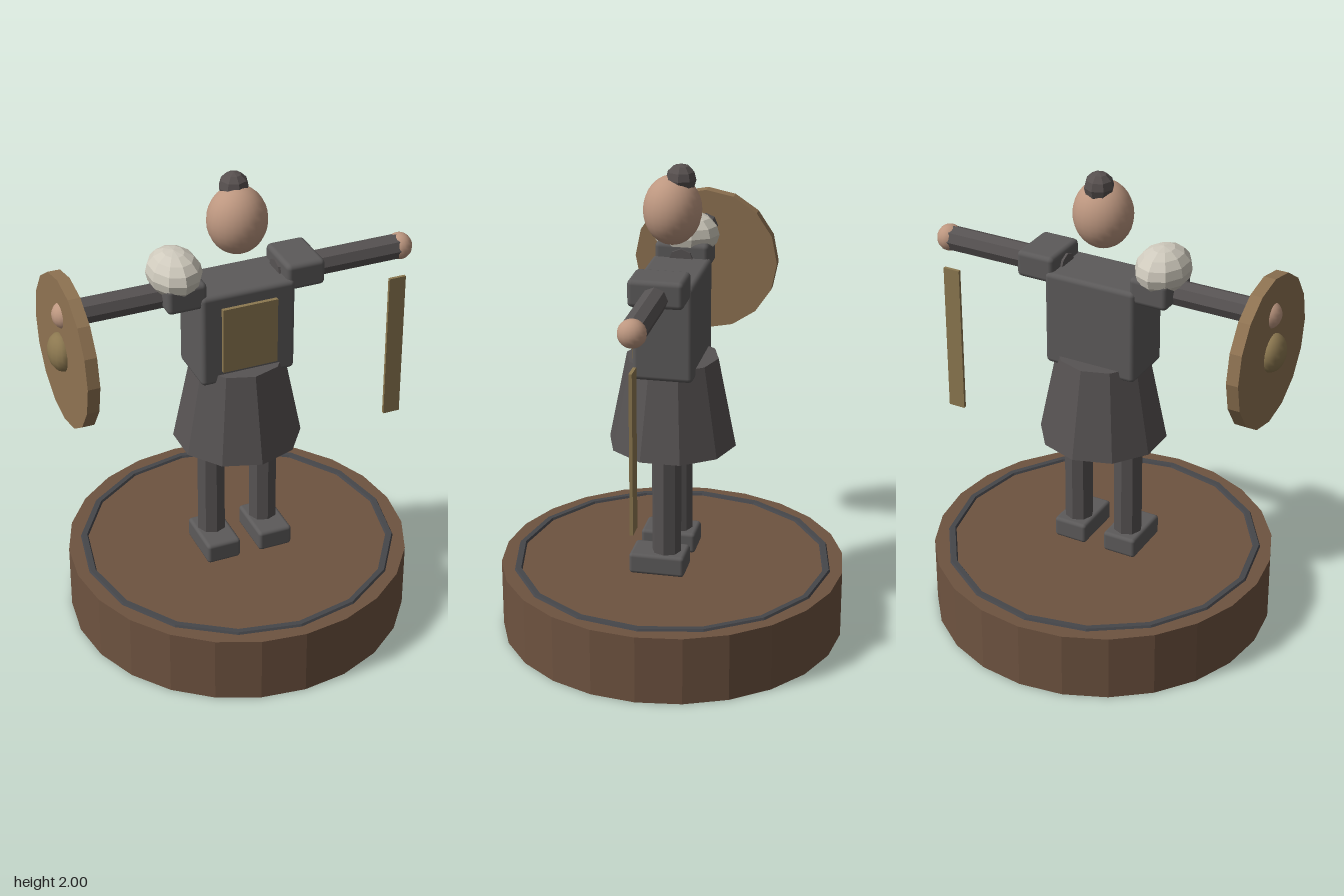
import * as THREE from 'three';
import { RoundedBoxGeometry } from 'three/addons/geometries/RoundedBoxGeometry.js';

const mat = (color, flatShading = true) => new THREE.MeshStandardMaterial({ color, flatShading });
const wood = mat(0x6e5340);
const iron = mat(0x45464a);
const cloth = mat(0x575353);
const armour = mat(0x5c5a5a, false);
const brass = mat(0x8c7850);
const brassSmooth = mat(0x8c7850, false);
const hide = mat(0x8f7352);
const skin = mat(0xbd9780, false);
const hair = mat(0x57504f);
const fur = mat(0xcfcabd);

export function createModel() {
  const model = new THREE.Group();
  model.name = 'warriorFigure';

  const add = (name, geometry, material, x, y, z) => {
    const mesh = new THREE.Mesh(geometry, material);
    mesh.name = name;
    mesh.position.set(x, y, z);
    model.add(mesh);
    return mesh;
  };
  const box = (w, h, d) => new THREE.BoxGeometry(w, h, d);
  const rounded = (w, h, d, r = 0.02) => new RoundedBoxGeometry(w, h, d, 2, r);
  // Ellipsoid with a corner of its outline on the z axis
  const ball = (rx, ry, rz, ws, hs) =>
    new THREE.SphereGeometry(1, ws, hs).rotateY(Math.PI / 2).scale(rx, ry, rz);
  // Cylinder lying along x
  const rod = (r, length, sides) =>
    new THREE.CylinderGeometry(r, r, length, sides).rotateZ(Math.PI / 2);

  // Round plinth with an inlaid ring
  add('plinth', new THREE.CylinderGeometry(0.72, 0.72, 0.29, 24), wood, 0, 0.145, 0);
  add('plinthRing', new THREE.TorusGeometry(0.653, 0.022, 6, 16).rotateX(Math.PI / 2).rotateY(Math.PI / 2),
    iron, 0, 0.28, 0);

  // Paired limbs, mirrored across x
  for (const [side, s] of [['left', 1], ['right', -1]]) {
    add(side + 'Boot', rounded(0.148, 0.09, 0.232, 0.015), armour, s * 0.117, 0.337, 0.03);
    add(side + 'Leg', new THREE.CylinderGeometry(0.061, 0.061, 0.52, 8), cloth, s * 0.117, 0.62, 0);
    add(side + 'Arm', rod(0.053, 0.56, 8), cloth, s * 0.44, 1.547, 0);
    add(side + 'Shoulder', rounded(0.165, 0.112, 0.224), armour, s * 0.252, 1.564, 0);
    add(side + 'Hand', ball(0.052, 0.056, 0.056, 16, 12), skin, s * 0.717, 1.547, 0);
  }

  // Body
  add('skirt', new THREE.CylinderGeometry(0.19, 0.265, 0.375, 10), cloth, 0, 1.013, 0);
  add('torso', rounded(0.402, 0.402, 0.245), armour, 0, 1.359, 0);
  add('chestPlate', box(0.234, 0.284, 0.03), brass, 0, 1.36, 0.124);
  add('shoulderFur', ball(0.109, 0.095, 0.139, 10, 8), fur, -0.267, 1.638, 0);

  // Head with a hair bun
  add('head', ball(0.122, 0.14, 0.117, 24, 16), skin, 0, 1.812, 0);
  add('hairBun', ball(0.061, 0.061, 0.061, 8, 6), hair, 0, 1.939, -0.034);

  // Shield on the right hand
  add('shield', rod(0.312, 0.05, 16), hide, -0.715, 1.39, 0);
  add('shieldBoss', ball(0.053, 0.079, 0.079, 16, 10), brassSmooth, -0.739, 1.387, 0);

  // Blade below the left hand
  add('blade', box(0.074, 0.655, 0.013), brass, 0.715, 1.073, 0);

  model.position.set(0.005, 0, -0.004);
  return model;
}
